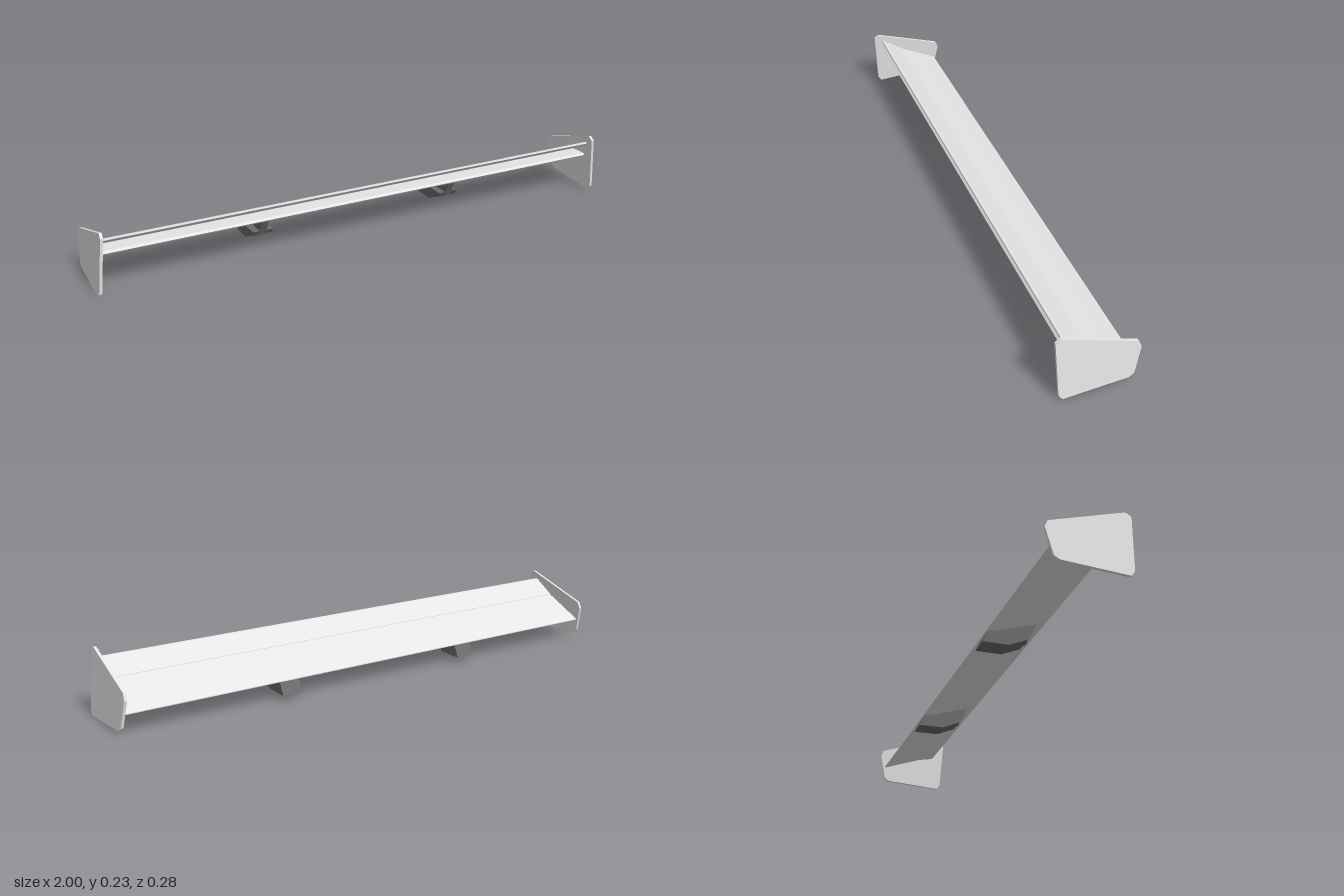
import * as THREE from 'three';

const paint = new THREE.MeshStandardMaterial({ color: 0xe5e5e5, flatShading: true });
paint.name = 'light grey paint';
const metal = new THREE.MeshStandardMaterial({ color: 0x6c6c6c, flatShading: true });
metal.name = 'dark grey metal';

const LEAN = 0.095; // how far the end plates lean inward per unit of height

// Extrude a side profile of [z, y] points along x, centred on x = 0
function profile(points, width) {
  const shape = new THREE.Shape(points.map(([z, y]) => new THREE.Vector2(z, y)));
  const geo = new THREE.ExtrudeGeometry(shape, { depth: width, bevelEnabled: false });
  return geo.translate(0, 0, -width / 2).rotateY(-Math.PI / 2);
}

// Move each vertex along x by a rule of (x, y)
function moveX(geo, rule) {
  const p = geo.attributes.position;
  for (let i = 0; i < p.count; i++) p.setX(i, rule(p.getX(i), p.getY(i)));
  geo.computeVertexNormals();
  return geo;
}

function add(parent, name, geo, material) {
  const mesh = new THREE.Mesh(geo, material);
  mesh.name = name;
  parent.add(mesh);
}

export function createModel() {
  const group = new THREE.Group();
  group.name = 'rearWing';

  // Main blade reaching forward under the flap, and the steeper flap above it
  const blades = {
    mainBlade: [[-0.122, 0.07], [-0.05, 0.095], [0.03, 0.122], [0.09, 0.134], [0.097, 0.141],
      [0.09, 0.148], [0.027, 0.1465], [-0.05, 0.109], [-0.122, 0.073]],
    upperFlap: [[0.027, 0.1475], [0.065, 0.167], [0.106, 0.19], [0.111, 0.195], [0.109, 0.201],
      [0.1, 0.1985], [0.065, 0.174], [0.027, 0.149]],
  };
  for (const [name, points] of Object.entries(blades)) {
    const geo = moveX(profile(points, 2), (x, y) => Math.sign(x) * (0.993 - LEAN * y));
    add(group, name, geo, paint);
  }

  // Leaning end plates with clipped corners
  const plate = [[0.143, 0.218], [0.138, 0.222], [0.124, 0.231], [-0.131, 0.146], [-0.141, 0.122],
    [-0.12, 0.027], [-0.116, 0.022], [-0.102, 0.013], [0.12, 0], [0.133, 0.018]];
  // Mounting feet with undercut fronts, and the narrow fins joining them to the main blade
  const foot = [[-0.138, 0.025], [-0.125, 0.052], [-0.115, 0.072], [0.035, 0.075], [0.022, 0.056], [-0.045, 0.026]];
  const fin = [[-0.1, 0.06], [-0.1, 0.079], [0.03, 0.124], [0.065, 0.131], [0.03, 0.06]];

  for (const [side, s] of [['left', 1], ['right', -1]]) {
    const plateGeo = moveX(profile(plate, 0.01), (x, y) => x + s * (0.995 - LEAN * y));
    add(group, side + 'EndPlate', plateGeo, paint);

    const mount = new THREE.Group();
    mount.name = side + 'Mount';
    mount.position.x = s * 0.382;
    add(mount, 'foot', profile(foot, 0.076), metal);
    add(mount, 'fin', profile(fin, 0.026), metal);
    group.add(mount);
  }
  return group;
}
